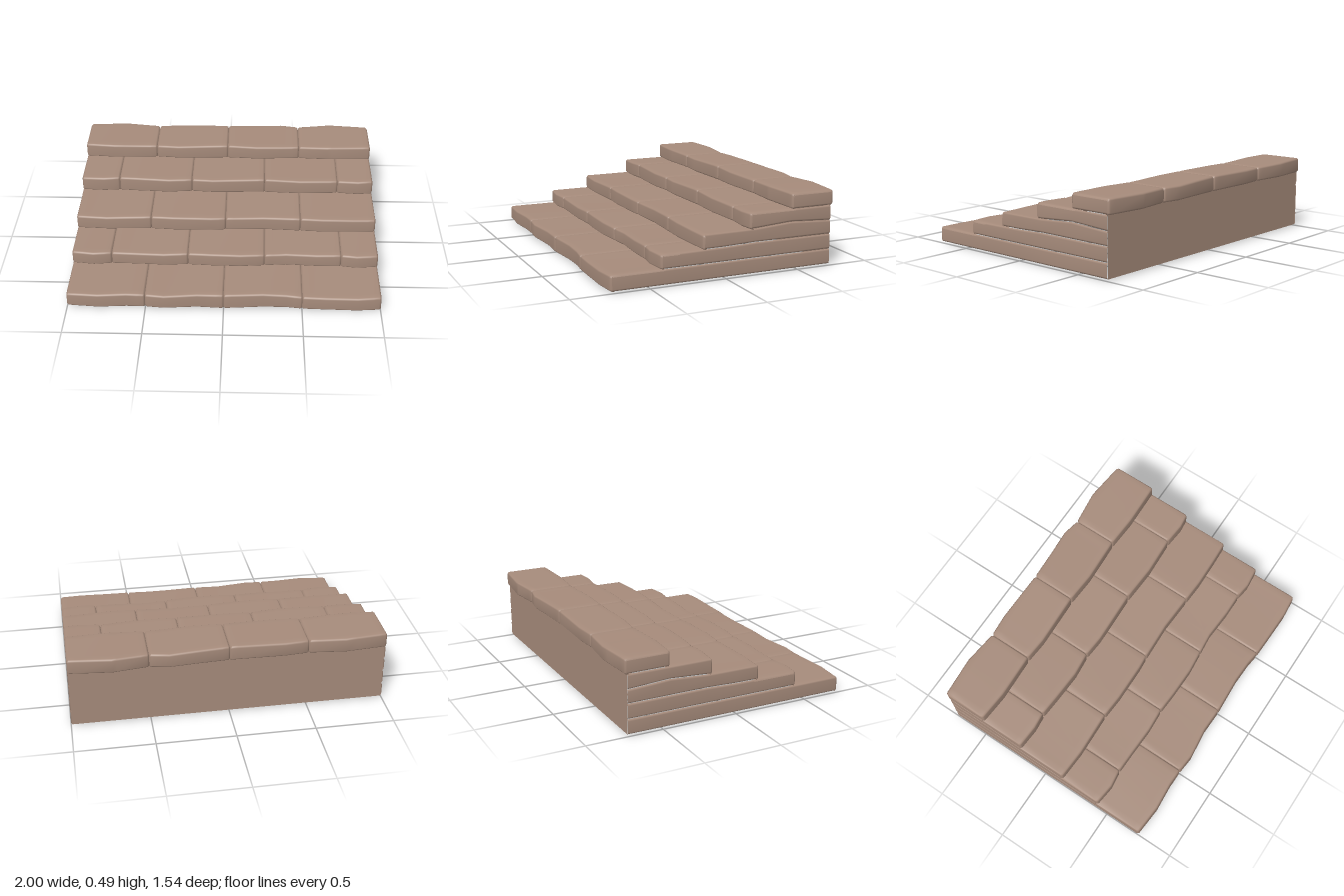
import * as THREE from 'three';

const BACK = -0.73; // plane of the back wall
const R = 0.013; // softened edge of the stones
const LEVELS = [0.01, 0.108, 0.196, 0.291, 0.39, 0.484];
const ODD = [-1, -0.5, 0, 0.5, 1];
const EVEN = [-1, -0.74, -0.24, 0.26, 0.76, 1];

// Worn front edge of each course, as [x, z] knots
const FRONTS = [
  [[-1, 0.752], [-0.8, 0.768], [-0.62, 0.755], [-0.5, 0.757], [-0.38, 0.768], [-0.17, 0.745], [0, 0.75],
    [0.25, 0.737], [0.4, 0.742], [0.5, 0.755], [0.65, 0.76], [0.85, 0.765], [1, 0.752]],
  [[-1, 0.43], [-0.86, 0.447], [-0.74, 0.432], [-0.6, 0.435], [-0.4, 0.443], [-0.24, 0.434], [-0.1, 0.443],
    [0.1, 0.447], [0.26, 0.433], [0.4, 0.42], [0.6, 0.433], [0.76, 0.432], [0.86, 0.446], [1, 0.432]],
  [[-1, 0.156], [-0.8, 0.167], [-0.5, 0.157], [-0.35, 0.167], [-0.1, 0.165], [0, 0.157],
    [0.25, 0.147], [0.5, 0.16], [0.65, 0.168], [0.85, 0.163], [1, 0.156]],
  [[-1, -0.168], [-0.85, -0.158], [-0.74, -0.168], [-0.6, -0.158], [-0.4, -0.148], [-0.24, -0.163],
    [-0.1, -0.152], [0.26, -0.163], [0.5, -0.15], [0.76, -0.163], [0.9, -0.15], [1, -0.16]],
  [[-1, -0.453], [-0.8, -0.438], [-0.5, -0.45], [-0.35, -0.438], [0, -0.45], [0.2, -0.438],
    [0.5, -0.453], [0.7, -0.441], [1, -0.45]],
];
// Worn rear edge of the top course
const REAR = [[-1, -0.748], [-0.73, -0.768], [-0.5, -0.743], [-0.35, -0.755], [0, -0.747], [0.2, -0.757],
  [0.38, -0.77], [0.5, -0.747], [0.73, -0.775], [1, -0.747]];
// Uneven bed joints seen on the flanks, as [z, y] knots
const BEDS = LEVELS.map((y) => [[-1, y], [1, y]]);
BEDS[2] = [[-0.73, 0.205], [-0.2, 0.207], [0, 0.2], [0.45, 0.196]];
BEDS[3] = [[-0.73, 0.294], [-0.45, 0.31], [-0.2, 0.293], [0.17, 0.291]];

function at(knots, t) {
  if (t <= knots[0][0]) return knots[0][1];
  for (let i = 1; i < knots.length; i++) {
    const [a, va] = knots[i - 1], [b, vb] = knots[i];
    if (t <= b) return va + ((vb - va) * (t - a)) / (b - a);
  }
  return knots[knots.length - 1][1];
}

// Surface through a row of equal-length cross-sections
function loft(sections) {
  const n = sections[0].length, index = [];
  for (let i = 0; i < sections.length - 1; i++) {
    for (let j = 0; j < n - 1; j++) {
      const a = i * n + j, b = a + n;
      index.push(a, b, b + 1, a, b + 1, a + 1);
    }
  }
  const geo = new THREE.BufferGeometry();
  geo.setAttribute('position', new THREE.Float32BufferAttribute(sections.flat(2), 3));
  geo.setIndex(index);
  geo.computeVertexNormals();
  return geo;
}

// Cross-section of a stone: riser, rounded nosing, tread, and a rear face on the top course
function stoneSection(k, x, inset) {
  const z = at(FRONTS[k], x) - inset;
  const wear = 0.003 * Math.sin(x * 7 + k * 2);
  const top = LEVELS[k + 1] + wear - inset;
  const low = k === 0 ? 0.01 - 0.01 * Math.max(0, 1 - Math.abs(x) * 2.5) : LEVELS[k] - 0.002;
  const pts = [[x, low, z - R], [x, low + R * 0.4, z - R * 0.35], [x, low + R, z],
    [x, top - R, z], [x, top - R * 0.35, z - R * 0.35], [x, top, z - R], [x, top, z - 0.05]];
  if (k < 4) {
    pts.push([x, top, at(FRONTS[k + 1], x) - 0.03]);
  } else {
    const rear = at(REAR, x) + inset;
    pts.push([x, top, rear + 0.05], [x, top, rear + R], [x, top - R * 0.35, rear + R * 0.35],
      [x, top - R, rear], [x, low + R, rear], [x, low, rear + R], [x, low, BACK + 0.03]);
  }
  return pts;
}

// One stone between two joints, with its ends rounded down into the joint
function stone(k, x0, x1) {
  const mids = [x0 + 0.05, x1 - 0.05, ...FRONTS[k].map((p) => p[0]), ...(k === 4 ? REAR.map((p) => p[0]) : [])]
    .filter((x) => x > x0 + 0.03 && x < x1 - 0.03);
  const xs = [...new Set(mids)].sort((a, b) => a - b);
  return loft([
    stoneSection(k, x0, R), stoneSection(k, x0 + R * 0.35, R * 0.35), stoneSection(k, x0 + R, 0),
    ...xs.map((x) => stoneSection(k, x, 0)),
    stoneSection(k, x1 - R, 0), stoneSection(k, x1 - R * 0.35, R * 0.35), stoneSection(k, x1, R),
  ]);
}

// Flank of a course, running from its riser to the back wall
function flank(k, side) {
  const front = at(FRONTS[k], side) - R;
  const zs = [front, ...[0.3, 0, -0.2, -0.45].filter((z) => z < front - 0.02), k === 4 ? at(REAR, side) + R : BACK];
  const sections = zs.map((z) => {
    const lo = at(BEDS[k], z), hi = at(BEDS[k + 1], z);
    return [[1 - R, lo], [1 - R * 0.35, lo + R * 0.35], [1, lo + R],
      [1, hi - R], [1 - R * 0.35, hi - R * 0.35], [1 - R, hi - 0.004]].map(([x, y]) => [x * side, y, z]);
  });
  return loft(side > 0 ? sections : sections.reverse());
}

export function createModel() {
  const model = new THREE.Group();
  model.name = 'stoneSteps';
  const stoneMat = new THREE.MeshStandardMaterial({ color: 0xa68b7b, side: THREE.DoubleSide });
  stoneMat.name = 'brownStone';

  // Five courses of stones with alternating joints
  FRONTS.forEach((_, k) => {
    const course = new THREE.Group();
    course.name = `step${k + 1}`;
    const add = (geo, name) => {
      const mesh = new THREE.Mesh(geo, stoneMat);
      mesh.name = name;
      course.add(mesh);
    };
    const joints = k % 2 ? EVEN : ODD;
    for (let i = 0; i < joints.length - 1; i++) add(stone(k, joints[i], joints[i + 1]), `stone${i + 1}`);
    add(flank(k, 1), 'leftFlank');
    add(flank(k, -1), 'rightFlank');
    model.add(course);
  });

  // Plain back wall, open underneath
  const wallGeo = new THREE.PlaneGeometry(2 - R, 0.385).rotateY(Math.PI).translate(0, 0.2025, BACK);
  const wall = new THREE.Mesh(wallGeo, stoneMat);
  wall.name = 'backWall';
  model.add(wall);
  return model;
}
